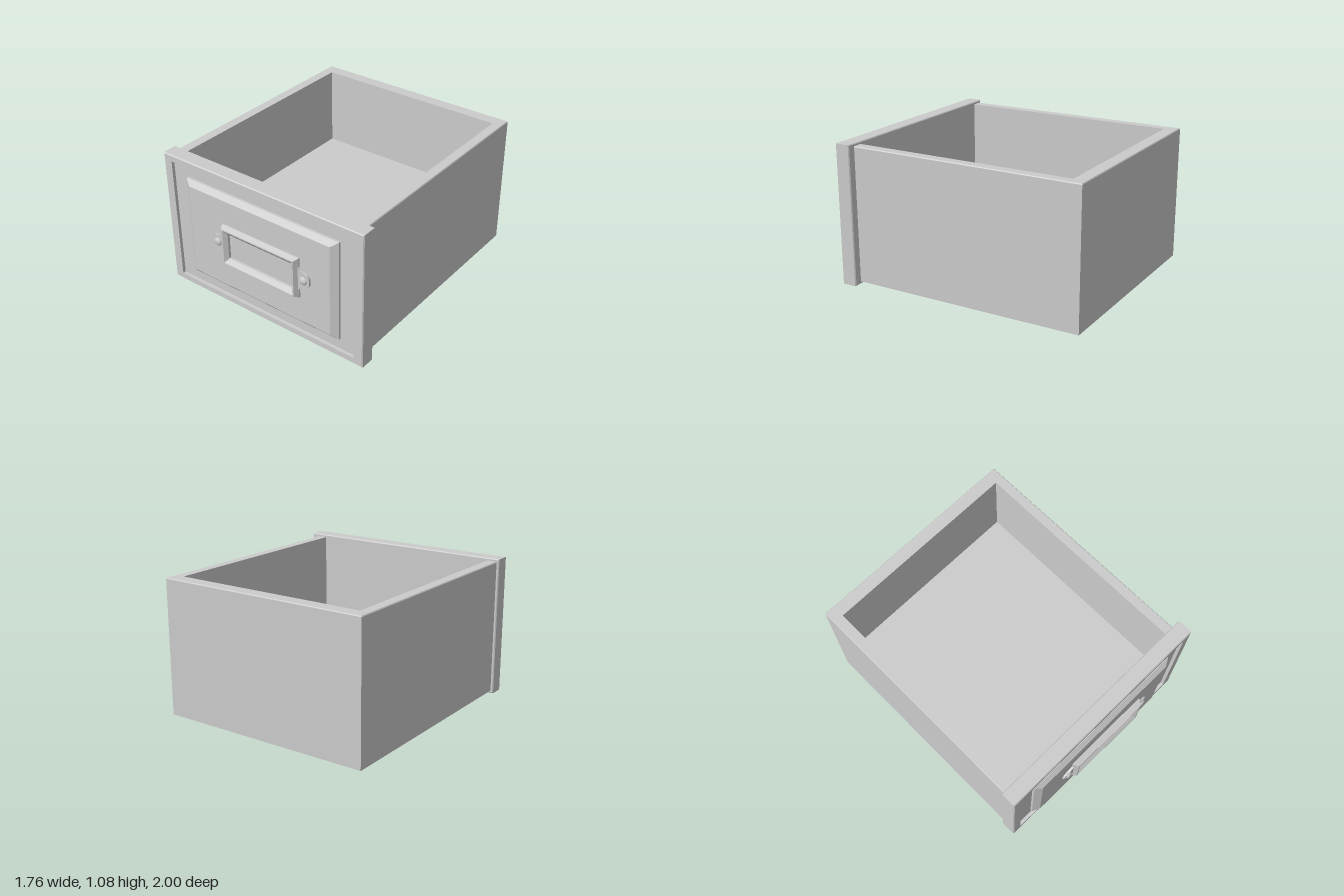
import * as THREE from 'three';

const material = new THREE.MeshStandardMaterial({ color: 0xcccccc });

// Joins rectangles [x0, x1, y0, y1, z] in order into one sharp-edged skin.
function loftRects(rects, capped = true) {
  const rings = rects.map(([x0, x1, y0, y1, z]) => [[x0, y0, z], [x1, y0, z], [x1, y1, z], [x0, y1, z]]);
  const pos = [];
  const quad = (a, b, c, d) => pos.push(...a, ...b, ...c, ...a, ...c, ...d);
  for (let r = 0; r < rings.length - 1; r++) {
    for (let i = 0; i < 4; i++) {
      const j = (i + 1) % 4;
      quad(rings[r][i], rings[r][j], rings[r + 1][j], rings[r + 1][i]);
    }
  }
  if (capped) {
    quad(...[...rings[0]].reverse());
    quad(...rings[rings.length - 1]);
  }
  const geometry = new THREE.BufferGeometry();
  geometry.setAttribute('position', new THREE.Float32BufferAttribute(pos, 3));
  geometry.computeVertexNormals();
  return geometry;
}

// Rectangle given by centre height, half width and half height.
const centred = (cy) => ([hx, hy, z]) => [-hx, hx, cy - hy, cy + hy, z];

function add(parent, name, geometry) {
  const mesh = new THREE.Mesh(geometry, material);
  mesh.name = name;
  parent.add(mesh);
  return mesh;
}

// Screw ear pointing to +x, with concave shoulders and a rounded tip.
function earGeometry() {
  const s = new THREE.Shape();
  s.moveTo(0.325, -0.095);
  s.lineTo(0.34, -0.095);
  s.quadraticCurveTo(0.365, -0.06, 0.405, -0.057);
  s.quadraticCurveTo(0.438, -0.045, 0.438, 0);
  s.quadraticCurveTo(0.438, 0.045, 0.405, 0.057);
  s.quadraticCurveTo(0.365, 0.06, 0.34, 0.095);
  s.lineTo(0.325, 0.095);
  return new THREE.ExtrudeGeometry(s, { depth: 0.02, bevelEnabled: false, curveSegments: 8 });
}

// Low domed screw head facing +z.
function screwGeometry() {
  const profile = [[0.031, 0], [0.031, 0.006], [0.026, 0.012], [0.015, 0.017], [0, 0.019]];
  return new THREE.LatheGeometry(profile.map(([x, y]) => new THREE.Vector2(x, y)), 20).rotateX(Math.PI / 2);
}

export function createModel() {
  const drawer = new THREE.Group();
  drawer.name = 'drawer';

  // Open box, lofted upward from the underside, over the rim and down to the floor
  const body = loftRects([
    [-0.86, 0.82, -0.815, 1, 0.02],
    [-0.86, 0.82, -0.815, 1, 1.053],
    [-0.855, 0.815, -0.815, 0.995, 1.06],
    [-0.78, 0.745, -0.811, 0.9, 1.06],
    [-0.78, 0.745, -0.811, 0.9, 0.435],
  ]);
  add(drawer, 'drawerBox', body.rotateX(-Math.PI / 2));

  // Front panel with eased edges, sunken border and bevelled raised field
  add(drawer, 'frontPanel', loftRects([
    [0.873, 0.533, 0.81],
    [0.88, 0.54, 0.817],
    [0.88, 0.54, 0.923],
    [0.873, 0.533, 0.93],
    [0.807, 0.488, 0.93],
    [0.807, 0.488, 0.905],
    [0.677, 0.399, 0.905],
    [0.677, 0.399, 0.922],
    [0.625, 0.361, 0.955],
  ].map(centred(0.54))));

  // Label holder: bevelled frame, two ears and two screws
  const holder = new THREE.Group();
  holder.name = 'labelHolder';
  holder.position.set(0.027, 0.548, 0.955);
  drawer.add(holder);

  add(holder, 'labelFrame', loftRects([
    [0.345, 0.162, -0.002],
    [0.345, 0.162, 0.008],
    [0.323, 0.146, 0.045],
    [0.313, 0.136, 0.045],
    [0.287, 0.103, 0.018],
    [0.287, 0.103, -0.002],
  ].map(centred(0)), false));

  for (const side of [1, -1]) {
    const name = side > 0 ? 'left' : 'right';
    const ear = add(holder, name + 'Ear', earGeometry());
    ear.position.z = -0.004;
    if (side < 0) ear.rotation.z = Math.PI;
    add(holder, name + 'Screw', screwGeometry()).position.set(side * 0.387, 0, 0.014);
  }

  return drawer;
}
